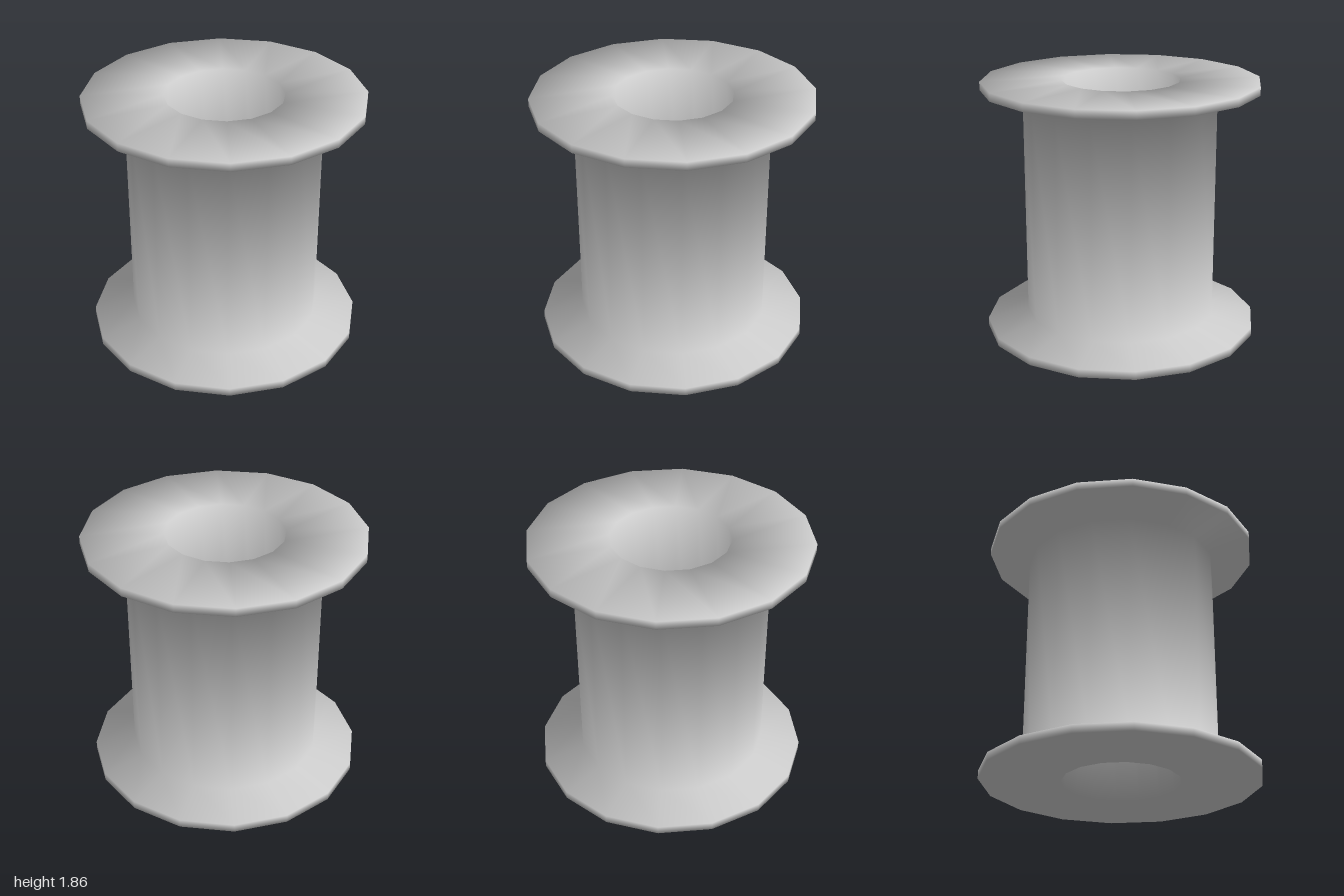
import * as THREE from 'three';

const SIDES = 16;

// Closed cross-section [radius, height], running outward along the base and up the outside
const PROFILE = [
  [0.425, 0], [1, 0], [1, 0.06], [0.7, 0.13],
  [0.7, 1.73], [1, 1.8], [1, 1.86], [0.425, 1.86],
].map(([r, y]) => new THREE.Vector2(r, y));

// Outward normal of the profile segment starting at point i
function segmentNormal(i) {
  const n = PROFILE.length;
  const d = PROFILE[(i + 1) % n].clone().sub(PROFILE[(i + n) % n]);
  return new THREE.Vector2(d.y, -d.x).normalize();
}

export function createModel() {
  const group = new THREE.Group();
  group.name = 'spool';

  // Flanges, barrel and bore in one revolved ring
  const points = [...PROFILE, PROFILE[0]];
  const geometry = new THREE.LatheGeometry(points, SIDES);

  // Soft shading: every edge evenly blends its two neighbouring surfaces
  const blended = points.map((_, j) => {
    const i = j % PROFILE.length;
    return segmentNormal(i).add(segmentNormal(i - 1)).normalize();
  });
  const normals = geometry.attributes.normal;
  for (let k = 0; k < normals.count; k++) {
    const angle = Math.floor(k / points.length) / SIDES * Math.PI * 2;
    const n = blended[k % points.length];
    normals.setXYZ(k, n.x * Math.sin(angle), n.y, n.x * Math.cos(angle));
  }

  const body = new THREE.Mesh(geometry, new THREE.MeshStandardMaterial({ color: 0xcccccc }));
  body.name = 'spoolBody';
  group.add(body);
  return group;
}
